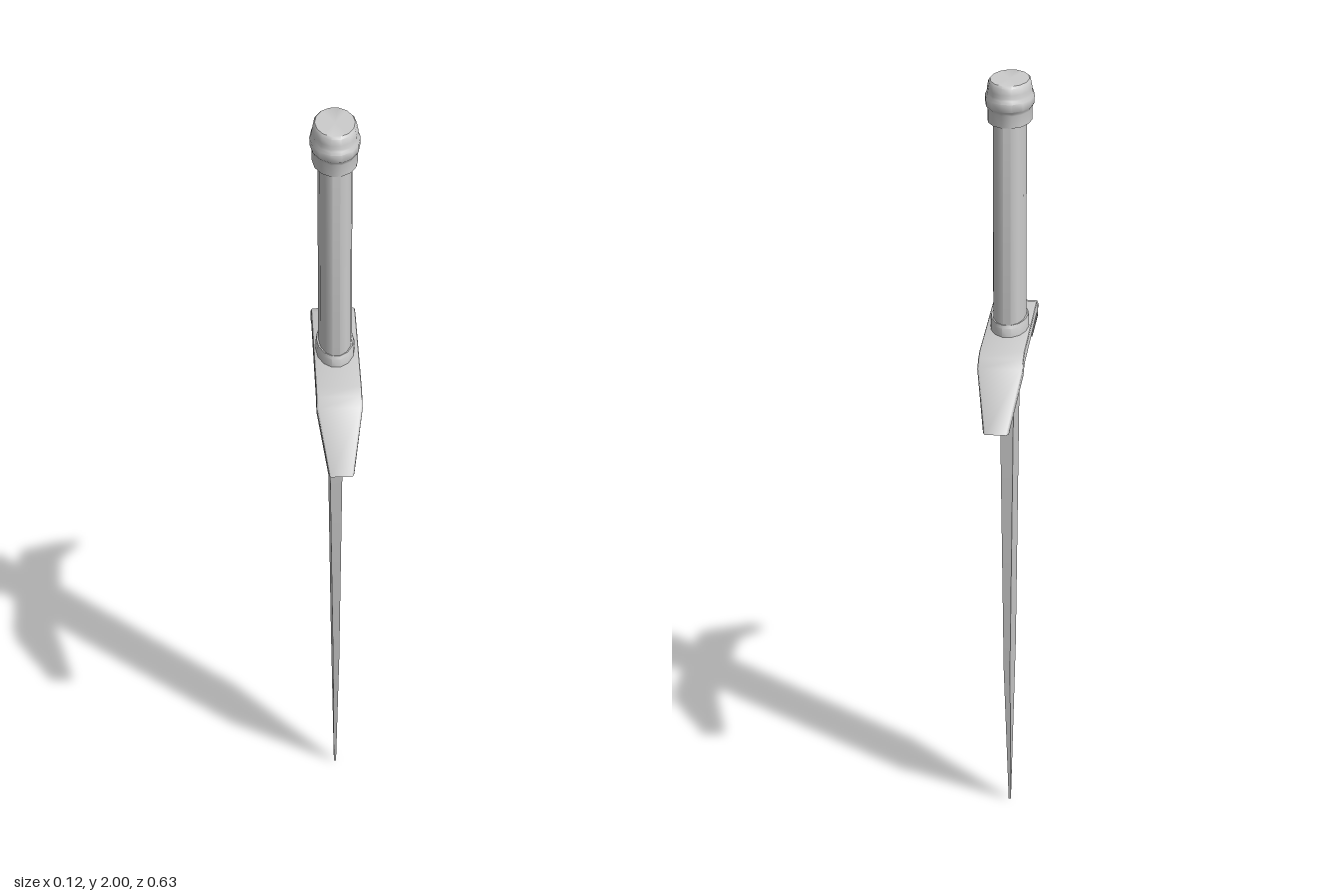
import * as THREE from 'three';
import { toCreasedNormals } from 'three/addons/utils/BufferGeometryUtils.js';

const material = new THREE.MeshStandardMaterial({ color: 0xcccccc });

function part(name, geometry, crease) {
  const mesh = new THREE.Mesh(toCreasedNormals(geometry, crease), material);
  mesh.name = name;
  return mesh;
}

// Oval turned part: profile of [z radius, y], narrowed across x, 14 sides
function oval(name, profile, narrow) {
  const points = profile.map(([r, y]) => new THREE.Vector2(r, y));
  const geometry = new THREE.LatheGeometry(points, 14, Math.PI / 2);
  geometry.scale(narrow, 1, 1);
  return part(name, geometry, 0.75);
}

// Outline of [z, y] given for one side, mirrored, extruded across x by +-1
function slab(half, bevel) {
  const mirrored = half.filter(([z]) => z !== 0).map(([z, y]) => [-z, y]).reverse();
  const shape = new THREE.Shape([...half, ...mirrored].map(([z, y]) => new THREE.Vector2(z, y)));
  const geometry = new THREE.ExtrudeGeometry(shape, {
    depth: 2 - 2 * bevel.thickness, bevelEnabled: bevel.size > 0, bevelThickness: bevel.thickness,
    bevelSize: bevel.size, bevelOffset: -bevel.size, bevelSegments: 2, steps: 1,
  });
  geometry.translate(0, 0, bevel.thickness - 1);
  geometry.rotateY(-Math.PI / 2);
  return geometry;
}

// Scale the thickness across x by a rule of the vertex position
function thicken(geometry, rule) {
  const p = geometry.attributes.position;
  for (let i = 0; i < p.count; i++) p.setX(i, p.getX(i) * rule(p.getY(i), Math.abs(p.getZ(i))));
  return geometry;
}

export function createModel() {
  const group = new THREE.Group();
  group.name = 'dagger';

  // Flat blade, thinning evenly toward the point
  const blade = slab([[0, 0], [0.077, 0.44], [0.077, 1.345]], { size: 0, thickness: 0 });
  thicken(blade, (y) => 0.003 + 0.0117 * y);
  group.add(part('blade', blade, 0.3));

  // Cross guard with drooping arms that narrow toward their ends
  const guard = slab([
    [0.15, 1.335], [0.172, 1.331], [0.192, 1.317], [0.302, 1.213], [0.317, 1.217],
    [0.213, 1.343], [0.19, 1.361], [0.16, 1.37],
  ], { size: 0.005, thickness: 0.1 });
  thicken(guard, (y, z) => 0.055 - 0.027 * THREE.MathUtils.clamp((z - 0.21) / 0.107, 0, 1));
  const guardMesh = part('crossGuard', guard, 0.7);
  guardMesh.position.x = 0.0025;
  group.add(guardMesh);

  // Grip and the collar at its foot
  group.add(oval('grip', [[0, 1.36], [0.077, 1.36], [0.077, 1.91], [0, 1.91]], 0.53));
  group.add(oval('collar', [
    [0, 1.36], [0.082, 1.36], [0.082, 1.392], [0.078, 1.4], [0, 1.4],
  ], 0.58));

  // Pommel: lower band, bulging ring and stepped cap
  group.add(oval('pommel', [
    [0, 1.9], [0.078, 1.9], [0.078, 1.93], [0.08, 1.936], [0.085, 1.941], [0.086, 1.96],
    [0.081, 1.967], [0.079, 1.972], [0.078, 1.98], [0.074, 1.995], [0.068, 2], [0, 2],
  ], 0.69));
  return group;
}
